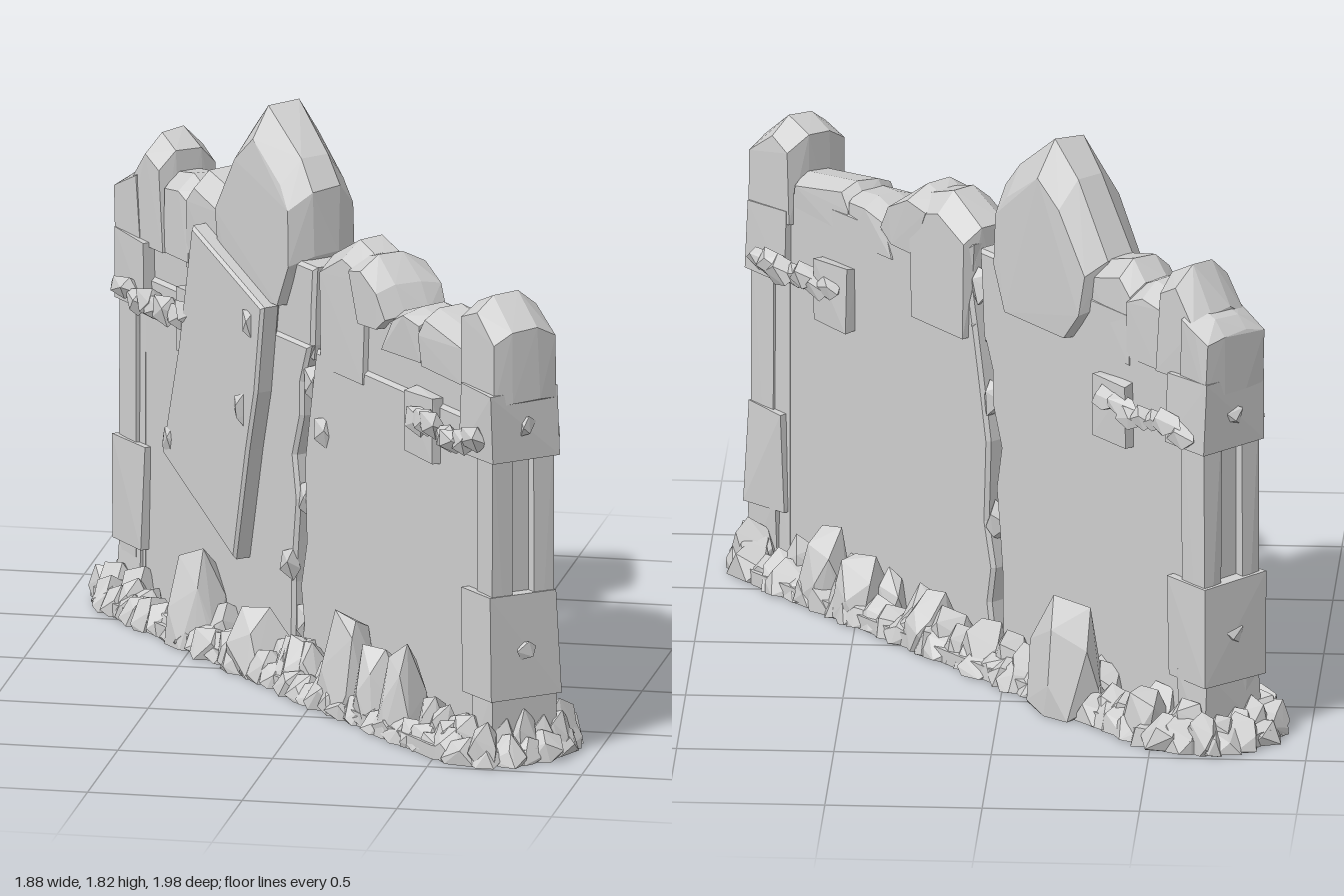
import * as THREE from 'three';
import { ConvexGeometry } from 'three/addons/geometries/ConvexGeometry.js';

export function createModel() {
  const model = new THREE.Group();
  model.name = 'ruinedWall';
  // The wall is laid out along x, then turned onto the diagonal
  const wall = new THREE.Group();
  wall.name = 'wall';
  wall.rotation.y = -0.825;
  model.add(wall);

  const stone = new THREE.MeshStandardMaterial({ color: 0xcecece, flatShading: true });
  stone.name = 'grey stone';

  let seed = 7;
  const rnd = () => (seed = (seed * 16807) % 2147483647) / 2147483647;
  const spread = (a) => (rnd() * 2 - 1) * a;

  function add(name, geometry) {
    const mesh = new THREE.Mesh(geometry, stone);
    mesh.name = name;
    wall.add(mesh);
  }

  // Upright slab with chamfered edges, from an outline in x and y
  function slab(name, outline, z0, z1, bevel) {
    const shape = new THREE.Shape(outline.map(([x, y]) => new THREE.Vector2(x, y)));
    const geometry = new THREE.ExtrudeGeometry(shape, {
      depth: z1 - z0 - 2 * bevel, bevelEnabled: true, bevelThickness: bevel,
      bevelSize: bevel, bevelOffset: -bevel, bevelSegments: 1,
    });
    geometry.translate(0, 0, z0 + bevel);
    add(name, geometry);
  }

  // Crest stone: flat base from x0 to x1, a few top points, lower and narrower towards both faces
  function crestStone(name, x0, x1, base, top, z0 = -0.1, z1 = 0.1, inset = 0.2) {
    const cx = (x0 + x1) / 2, mid = (z0 + z1) / 2, depth = (z1 - z0) / 2, points = [];
    for (const [x, y] of [[x0, base], [x1, base], ...top]) {
      for (const [t, k] of [[-1, inset], [-0.4, 0.15 * inset], [0.4, 0.15 * inset], [1, inset]]) {
        points.push(new THREE.Vector3(cx + (x - cx) * (1 - k * 0.7) + spread(0.006),
          base + (y - base) * (1 - k) + spread(0.006), mid + t * depth + spread(0.006)));
      }
    }
    add(name, new ConvexGeometry(points));
  }

  // Chipped block: a box with its corners nudged
  function block(name, x0, x1, y0, y1, z0, z1, chip = 0.008) {
    const points = [];
    for (const x of [x0, x1]) for (const y of [y0, y1]) for (const z of [z0, z1]) {
      points.push(new THREE.Vector3(x + spread(chip), Math.max(0, y + spread(chip)), z + spread(chip)));
    }
    add(name, new ConvexGeometry(points));
  }

  // Angular boulder, cut flat at the ground
  function rock(name, x, y, z, rx, ry, rz, count = 13) {
    const points = [];
    for (let i = 0; i < count; i++) {
      const h = 1 - (2 * (i + 0.5)) / count, a = i * 2.4 + spread(0.5);
      const r = Math.sqrt(1 - h * h), s = 0.85 + rnd() * 0.2;
      points.push(new THREE.Vector3(
        x + Math.cos(a) * r * rx * s, Math.max(0, y + h * ry * s), z + Math.sin(a) * r * rz * s));
    }
    add(name, new ConvexGeometry(points));
  }

  // Two wall halves, parted by a jagged crack
  const crack = [[0.05, 1.36], [0.05, 1.22], [0.035, 1.1], [0, 0.97], [-0.01, 0.86], [-0.045, 0.72],
    [-0.03, 0.58], [-0.035, 0.45], [-0.06, 0.3], [-0.05, 0.18], [-0.07, 0]];
  const side = (s) => crack.map(([x, y], i) => [x + s * (0.018 + (i % 2) * 0.01), y]);
  const lowerCrack = (s) => side(s).filter(([, y]) => y <= 1.1);
  const upperCrack = (s) => side(s).filter(([, y]) => y >= 1.1).reverse();
  slab('lowerWallLeft', [...lowerCrack(1), [1.1, 0], [1.1, 1.1]], -0.1, 0.1, 0.012);
  slab('lowerWallRight', [...lowerCrack(-1), [-1.08, 0], [-1.08, 1.1]], -0.1, 0.1, 0.012);
  slab('upperWallLeft', [[1.1, 1.3], [1.1, 1.05], [0.06, 1.05], ...upperCrack(1), [0.5, 1.3]], -0.1, 0.088, 0.012);
  slab('upperWallRight', [[-1.06, 1.35], [-1.06, 1.05], [0.01, 1.05], ...upperCrack(-1)], -0.1, 0.088, 0.012);

  // Broken stones along the top
  crestStone('endStoneLeft', 0.95, 1.17, 1.18, [[1.17, 1.42], [1.05, 1.52], [0.95, 1.48]], -0.115, 0.115, 0.17);
  crestStone('lowStoneLeft', 0.68, 0.97, 1.2, [[0.97, 1.35], [0.7, 1.39], [0.66, 1.33]]);
  crestStone('smallStoneLeft', 0.44, 0.7, 1.2, [[0.7, 1.36], [0.6, 1.37], [0.5, 1.33]]);
  crestStone('roundStone', 0.34, 0.46, 1.26, [[0.52, 1.32], [0.47, 1.41], [0.36, 1.48], [0.26, 1.46]], -0.115, 0.12);
  crestStone('middleStone', 0.07, 0.36, 1.05, [[0.38, 1.45], [0.22, 1.5], [0.065, 1.42]], -0.12, 0.1, 0.15);
  crestStone('peakStone', -0.46, -0.12, 1.2,
    [[-0.05, 1.38], [-0.05, 1.6], [-0.12, 1.69], [-0.31, 1.83], [-0.42, 1.73], [-0.57, 1.48], [-0.55, 1.32]], -0.13, 0.115);
  crestStone('shoulderStone', -0.74, -0.5, 1.18, [[-0.5, 1.47], [-0.68, 1.52], [-0.74, 1.46]]);
  crestStone('smallStoneRight', -0.88, -0.7, 1.2, [[-0.7, 1.44], [-0.78, 1.48], [-0.88, 1.46]]);
  crestStone('tallStoneRight', -1.07, -0.85, 1.2, [[-0.87, 1.53], [-0.96, 1.58], [-1.06, 1.44]], -0.105, 0.11);
  crestStone('endStoneRight', -1.13, -0.98, 1.18, [[-1, 1.45], [-1.08, 1.42], [-1.13, 1.38]], -0.115, 0.115, 0.12);

  // Corner pillars with footing and collar blocks
  for (const [s, end] of [[1, 1.165], [-1, 1.125]]) {
    const label = s > 0 ? 'Left' : 'Right';
    const span = (a, b) => [Math.min(s * a, s * b), Math.max(s * a, s * b)];
    block('pillarCore' + label, ...span(0.97, end - 0.05), 0, 1.2, -0.1, 0.1, 0.004);
    for (const z of [-0.077, 0.077]) {
      block('pillarPost' + label, ...span(end - 0.12, end - 0.015), 0, 1.1, z - 0.035, z + 0.035, 0.006);
    }
    block('pillarFooting' + label, ...span(end - 0.18, end), 0.2, 0.54, -0.125, 0.125);
    block('pillarBase' + label, ...span(end - 0.14, end - 0.01), 0, 0.24, -0.115, 0.115);
    block('pillarCollar' + label, ...span(end - 0.19, end), 0.99, 1.22, -0.125, 0.125);
    for (const y of [0.36, 1.1]) rock('endStud' + label, s * end, y, 0, 0.025, 0.04, 0.04, 7);

    // Clasp on each face: square plate and a knotted bar back to the pillar
    for (const f of [-1, 1]) {
      const x = s > 0 ? 0.73 : 0.66;
      const z = [Math.min(f * 0.08, f * 0.135), Math.max(f * 0.08, f * 0.135)];
      block('claspPlate' + label, s * x - 0.08, s * x + 0.08, 0.91, 1.12, ...z, 0.006);
      for (let i = 0; i < 7; i++) {
        rock('claspKnot' + label, s * (x + (end - 0.1 - x) * (i / 6)), 1.04 + spread(0.02),
          f * (0.13 + rnd() * 0.02), 0.075, 0.04 + rnd() * 0.02, 0.04, 9);
      }
    }
  }

  // Tilted slab resting on the front
  slab('leaningSlab', [[-0.6, 1.36], [-0.17, 1.19], [-0.21, 0.9], [-0.26, 0.7], [-0.34, 0.32], [-0.78, 0.57], [-0.68, 0.95]],
    0.09, 0.16, 0.01);
  // Loose chips caught on the front
  for (const [x, y, z] of [[-0.25, 1.12, 0.15], [-0.3, 0.83, 0.15], [-0.74, 0.62, 0.14], [0.1, 0.84, 0.1], [-0.1, 0.36, 0.1]]) {
    rock('chip', x, y, z, 0.045, 0.06, 0.035, 9);
  }
  // Fragments lodged along the crack
  crack.slice(1, -1).forEach(([x, y], i) => {
    rock('crackFragment', x, y, ((i % 3) - 1) * 0.07, 0.05, 0.075, 0.04, 9);
  });

  // Rounded rubble bed with a flat underside
  const half = 0.97, bed = [];
  for (let i = 0; i < 44; i++) {
    const a = (i / 44) * Math.PI * 2, r = 0.245 + spread(0.015);
    bed.push(new THREE.Vector2(Math.cos(a) * r + Math.sign(Math.cos(a)) * half, Math.sin(a) * r));
  }
  const bedGeometry = new THREE.ExtrudeGeometry(new THREE.Shape(bed), { depth: 0.045, bevelEnabled: false });
  bedGeometry.rotateX(-Math.PI / 2);
  add('rubbleBed', bedGeometry);

  // Outer ring of stones
  const ring = 80, reach = 0.2, straight = half * 2, lap = straight + Math.PI * reach;
  for (let i = 0; i < ring; i++) {
    const flip = i < ring / 2 ? 1 : -1;
    const d = ((i % (ring / 2)) / (ring / 2)) * lap;
    const a = Math.max(0, d - straight) / reach;
    const x = Math.min(d, straight) - half + Math.sin(a) * reach;
    rock('rubbleStone', flip * x, 0, flip * Math.cos(a) * reach + spread(0.015),
      0.07 + rnd() * 0.025, 0.08 + rnd() * 0.05, 0.07 + rnd() * 0.02, 16);
  }
  // Inner heap against the wall
  for (let i = 0; i < 60; i++) {
    const z = (i % 2 ? 1 : -1) * (0.11 + rnd() * 0.06), r = 0.06 + rnd() * 0.04;
    rock('rubbleStone', spread(1.1), 0.02, z, r, 0.09 + rnd() * 0.08, r, 16);
  }
  for (const s of [-1, 1]) for (let i = 0; i < 5; i++) {
    rock('rubbleStone', s * 1.14, 0.02, -0.14 + i * 0.07, 0.06, 0.1 + rnd() * 0.06, 0.06, 16);
  }
  // Large fallen boulders: position, radius and height
  const boulder = (x, z, r, h) => rock('fallenBoulder', x, 0, z, r, h, Math.min(r, 0.14), 22);
  boulder(-0.54, -0.21, 0.16, 0.38);
  for (const [x, r, h] of [[0.7, 0.1, 0.28], [0.52, 0.1, 0.25], [0.18, 0.1, 0.2], [-0.9, 0.09, 0.19]]) boulder(x, -0.18, r, h);
  for (const [x, r, h] of [[0.39, 0.12, 0.37], [0.55, 0.1, 0.28], [0.7, 0.1, 0.32], [-0.55, 0.12, 0.34],
    [-0.16, 0.12, 0.23], [0.08, 0.08, 0.19]]) boulder(x, 0.17, r, h);
  return model;
}
